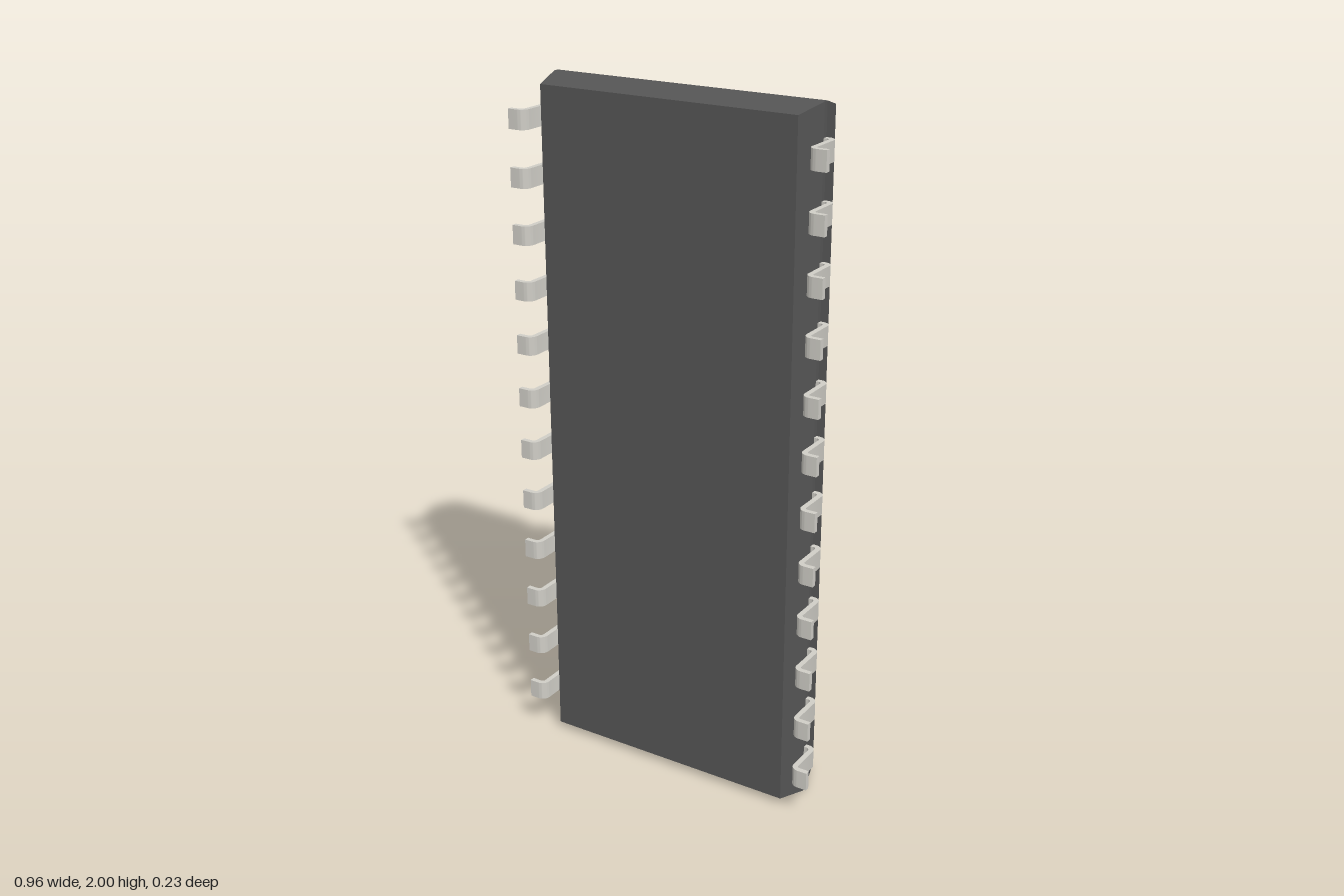
import * as THREE from 'three';
import { toCreasedNormals } from 'three/addons/utils/BufferGeometryUtils.js';

// Body cross-sections: z, half width, inset of the top and bottom ends
const BACK = { z: -0.115, w: 0.385, e: 0.026 };
const FLOOR = { z: -0.085, w: 0.393, e: 0.018 }; // depth of the notch
const BAND_BACK = { z: -0.02, w: 0.41, e: 0 };
const BAND_FRONT = { z: -0.005, w: 0.41, e: 0 };
const FRONT = { z: 0.09, w: 0.388, e: 0.02 };

// Tapered block between two cross-sections
function taperedBlock(a, b) {
  const geo = new THREE.BoxGeometry(2, 2, 2);
  const p = geo.attributes.position;
  for (let i = 0; i < p.count; i++) {
    const s = p.getZ(i) < 0 ? a : b;
    p.setXYZ(i, p.getX(i) * s.w, 1 + p.getY(i) * (1 - s.e), s.z);
  }
  geo.computeVertexNormals();
  return geo;
}

// Rear slab with a half-round notch at the top edge, tapered like the rest
function notchedSlab(a, b) {
  const r = 0.048, top = 2 - a.e;
  const shape = new THREE.Shape();
  shape.moveTo(-a.w, a.e);
  shape.lineTo(a.w, a.e);
  shape.lineTo(a.w, top);
  shape.lineTo(r, top);
  shape.lineTo(r, top - 0.003);
  shape.absarc(0, top - 0.003, r, 0, Math.PI, true);
  shape.lineTo(-r, top);
  shape.lineTo(-a.w, top);
  const geo = new THREE.ExtrudeGeometry(shape, {
    depth: b.z - a.z, bevelEnabled: false, curveSegments: 20,
  });
  geo.translate(0, 0, a.z);
  const p = geo.attributes.position;
  for (let i = 0; i < p.count; i++) {
    if (p.getZ(i) < (a.z + b.z) / 2) continue;
    const x = p.getX(i), y = p.getY(i);
    if (Math.abs(x) > 0.1) p.setX(i, Math.sign(x) * b.w);
    if (y > top - 0.001) p.setY(i, 2 - b.e);
    if (y < a.e + 0.001) p.setY(i, b.e);
  }
  return toCreasedNormals(geo, 0.5);
}

// Gull-wing pin: bent strip profile in x and z, extruded along y
function pinGeometry() {
  const R = 0.024, r = 0.009, H = Math.PI / 2;
  const top = -0.02, t = 0.015, outer = 0.443, foot = 0.113, tip = 0.481;
  const inner = outer - t;
  const s = new THREE.Shape();
  s.moveTo(0.39, top);
  s.lineTo(outer - R, top);
  s.absarc(outer - R, top + R, R, -H, 0, false);
  s.lineTo(outer, foot - t - r);
  s.absarc(outer + r, foot - t - r, r, Math.PI, H, true);
  s.lineTo(tip, foot - t);
  s.lineTo(tip, foot);
  s.lineTo(inner + R, foot);
  s.absarc(inner + R, foot - R, R, H, Math.PI, false);
  s.lineTo(inner, top + t + r);
  s.absarc(inner - r, top + t + r, r, 0, -H, true);
  s.lineTo(0.39, top + t);
  const width = 0.055;
  const geo = new THREE.ExtrudeGeometry(s, { depth: width, bevelEnabled: false, curveSegments: 6 });
  geo.translate(0, 0, -width / 2);
  geo.rotateX(H);
  return toCreasedNormals(geo, 0.6);
}

export function createModel() {
  const model = new THREE.Group();
  model.name = 'chip';
  const dark = new THREE.MeshStandardMaterial({ color: 0x555555 });
  const metal = new THREE.MeshStandardMaterial({ color: 0xcfcdc6 });

  // Moulded body
  const body = new THREE.Group();
  body.name = 'body';
  const parts = {
    notchedBack: notchedSlab(BACK, FLOOR),
    rearHalf: taperedBlock(FLOOR, BAND_BACK),
    middleBand: taperedBlock(BAND_BACK, BAND_FRONT),
    frontHalf: taperedBlock(BAND_FRONT, FRONT),
  };
  for (const [name, geo] of Object.entries(parts)) {
    const mesh = new THREE.Mesh(geo, dark);
    mesh.name = name;
    body.add(mesh);
  }
  model.add(body);

  // Twelve pins along each side
  const pinGeo = pinGeometry();
  for (const side of ['left', 'right']) {
    const row = new THREE.Group();
    row.name = side + 'Pins';
    for (let i = 0; i < 12; i++) {
      const pin = new THREE.Mesh(pinGeo, metal);
      pin.name = side + 'Pin' + (i + 1);
      pin.position.y = 0.122 + i * 0.16;
      if (side === 'right') pin.rotation.z = Math.PI;
      row.add(pin);
    }
    model.add(row);
  }
  return model;
}
